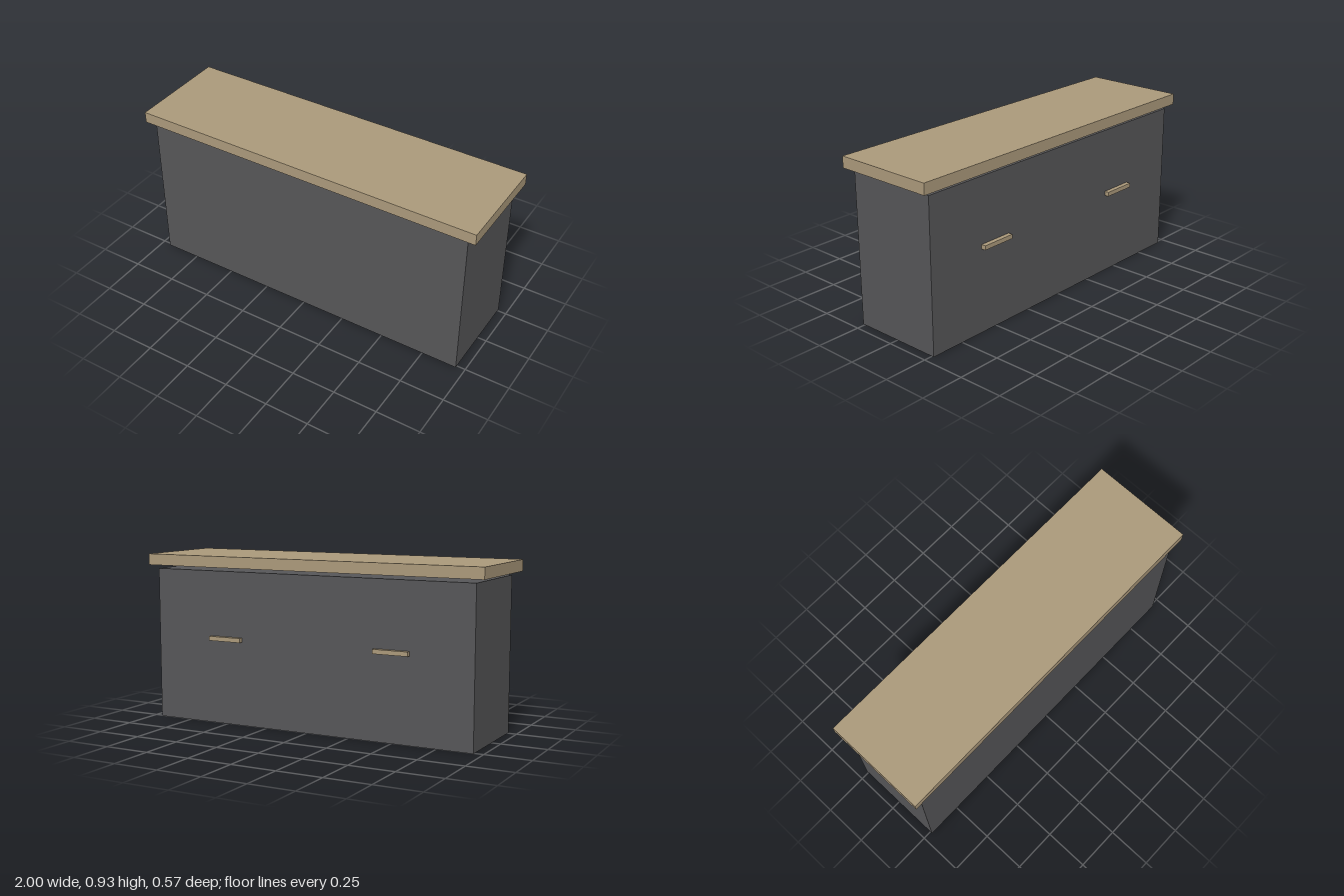
import * as THREE from 'three';

export function createModel() {
  const model = new THREE.Group();
  model.name = 'counter';

  const wood = new THREE.MeshStandardMaterial({ color: 0xab997b });
  wood.name = 'tan wood';
  const charcoal = new THREE.MeshStandardMaterial({ color: 0x565658 });
  charcoal.name = 'charcoal';

  // Adds a box given its size and centre
  const addBox = (name, material, size, centre) => {
    const mesh = new THREE.Mesh(new THREE.BoxGeometry(...size), material);
    mesh.name = name;
    mesh.position.set(...centre);
    model.add(mesh);
  };

  // Cabinet body, with the top set a narrow gap above it
  addBox('body', charcoal, [1.9, 0.85, 0.525], [0, 0.425, 0]);
  addBox('counterTop', wood, [2, 0.062, 0.575], [0, 0.901, 0]);

  // Pair of bar handles on the back
  for (const [side, name] of [[1, 'leftHandle'], [-1, 'rightHandle']]) {
    addBox(name, wood, [0.2, 0.024, 0.025], [side * 0.5, 0.477, -0.275]);
  }

  return model;
}
